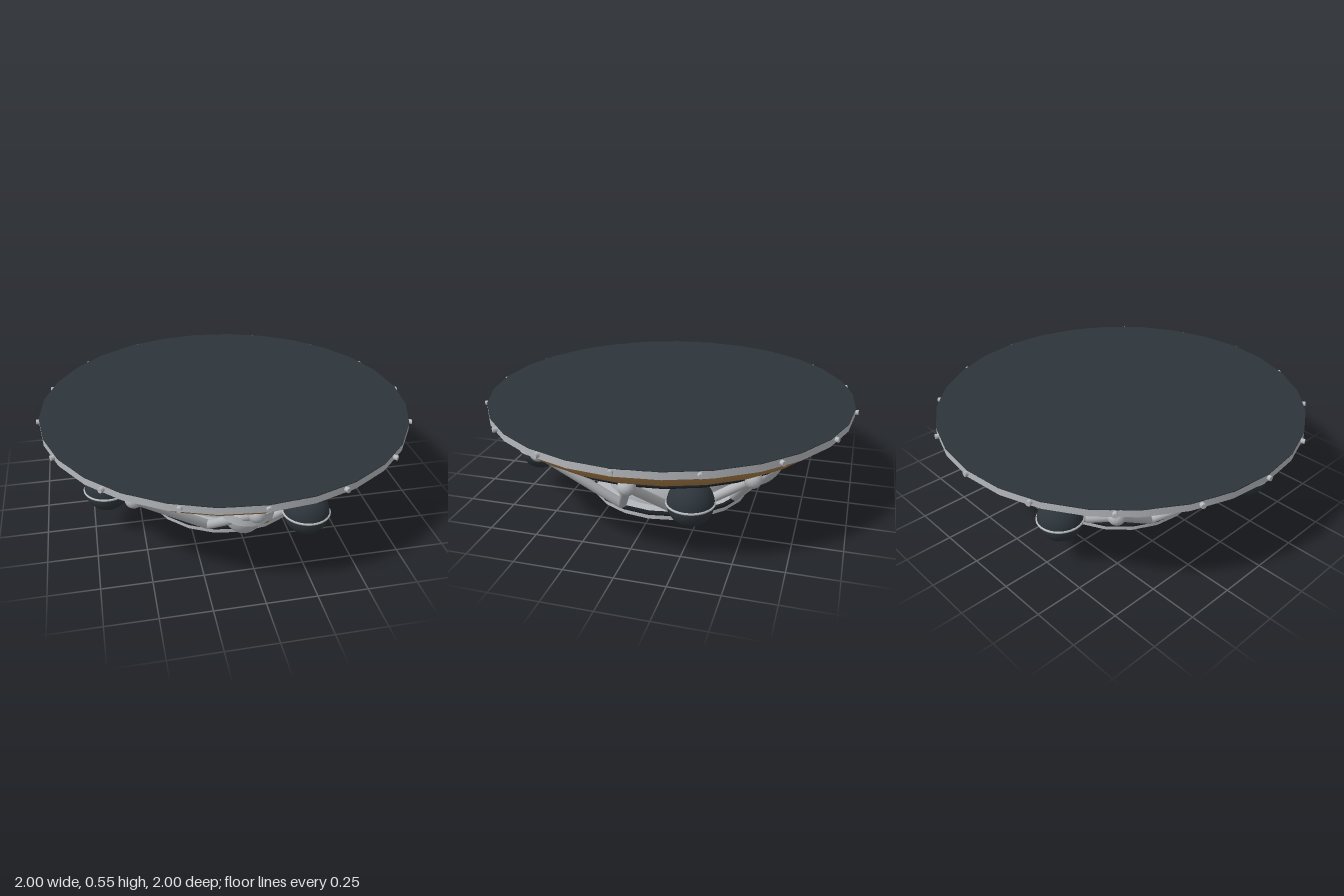
import * as THREE from 'three';

const V = (x, y, z) => new THREE.Vector3(x, y, z);
const polar = (deg, r, y) => {
  const a = THREE.MathUtils.degToRad(deg);
  return V(r * Math.sin(a), y, r * Math.cos(a));
};

export function createModel() {
  const model = new THREE.Group();
  model.name = 'heatShieldModule';

  const mat = (name, color) => {
    const m = new THREE.MeshStandardMaterial({ color });
    m.name = name;
    return m;
  };
  const grey = mat('lightGrey', 0xb6b9bd);
  const dark = mat('darkSlate', 0x2d353b);
  const tan = mat('tan', 0xaa7e4a);
  const black = mat('nearBlack', 0x1c2024);

  const add = (name, geometry, material, pos, parent = model) => {
    const mesh = new THREE.Mesh(geometry, material);
    mesh.name = name;
    if (pos) mesh.position.copy(pos);
    parent.add(mesh);
    return mesh;
  };
  const lathe = (pts, sides) =>
    new THREE.LatheGeometry(pts.map(p => new THREE.Vector2(p[0], p[1])), sides);
  const ring = (name, r, tube, y, material, sides = 48, pos = V(0, y, 0)) =>
    add(name, new THREE.TorusGeometry(r, tube, 8, sides).rotateX(Math.PI / 2), material, pos);
  const rod = (name, a, b, r, material) => {
    const dir = b.clone().sub(a);
    const mesh = add(name, new THREE.CylinderGeometry(r, r, dir.length(), 12), material,
      a.clone().add(b).multiplyScalar(0.5));
    mesh.quaternion.setFromUnitVectors(V(0, 1, 0), dir.normalize());
    return mesh;
  };

  // Shield: curved underside, rim band and flat dark deck
  add('shieldBowl', lathe([[0, 0.285], [0.25, 0.287], [0.42, 0.298], [0.6, 0.327], [0.72, 0.357],
    [0.8, 0.385], [0.87, 0.42], [0.92, 0.46], [0.945, 0.49], [0.955, 0.52]], 28), tan);
  add('rimBand', new THREE.CylinderGeometry(0.985, 0.985, 0.037, 28), grey, V(0, 0.5285, 0));
  add('deck', new THREE.CylinderGeometry(0.985, 0.985, 0.004, 28), dark, V(0, 0.548, 0));
  ring('outerSeam', 0.77, 0.011, 0.365, black, 28);
  ring('innerSeam', 0.42, 0.011, 0.294, black, 28);

  // Rim bolts
  for (let i = 0; i < 16; i++) {
    rod('rimBolt', polar(i * 22.5, 0.95, 0.53), polar(i * 22.5, 1, 0.53), 0.013, grey);
  }

  // Base plate and central dome
  add('basePlate', new THREE.CylinderGeometry(0.45, 0.45, 0.03, 20), grey, V(0, 0.015, 0));
  ring('baseRing', 0.447, 0.012, 0.034, black, 20);
  add('centreDome', new THREE.SphereGeometry(0.36, 28, 10, 0, Math.PI * 2, 0, Math.PI / 2),
    grey, V(0, 0.03, 0));

  // Eight V-shaped strut pairs with ball joints
  for (let i = 0; i < 8; i++) {
    const top = polar(i * 45, 0.78, 0.357);
    add('strutJoint', new THREE.SphereGeometry(0.045, 16, 12), grey, top);
    for (const side of [-22.5, 22.5]) {
      rod('strut', top, polar(i * 45 + side, 0.43, 0.035), 0.025, grey);
    }
  }

  // Four spherical tanks with equator bands
  for (let i = 0; i < 4; i++) {
    const p = polar(22.5 + i * 90, 0.726, 0.257);
    add('tank', new THREE.SphereGeometry(0.115, 24, 16), dark, p);
    ring('tankBand', 0.115, 0.006, 0, grey, 32, p);
  }

  // Two elbow ducts, front and back, with collars
  for (const s of [1, -1]) {
    const duct = new THREE.Group();
    duct.name = s > 0 ? 'frontDuct' : 'backDuct';
    duct.rotation.y = s > 0 ? 0 : Math.PI;
    const path = new THREE.CatmullRomCurve3([V(0, 0.12, 0.28), V(0, 0.12, 0.42),
      V(0, 0.145, 0.5), V(0, 0.195, 0.545), V(0, 0.26, 0.56)]);
    add('ductElbow', new THREE.TubeGeometry(path, 20, 0.092, 20), grey, null, duct);
    add('ductCollar', new THREE.CylinderGeometry(0.135, 0.135, 0.048, 24), grey,
      V(0, 0.262, 0.585), duct);
    add('ductNeck', new THREE.CylinderGeometry(0.06, 0.085, 0.06, 20), grey,
      V(0, 0.31, 0.57), duct);
    model.add(duct);
  }

  return model;
}
